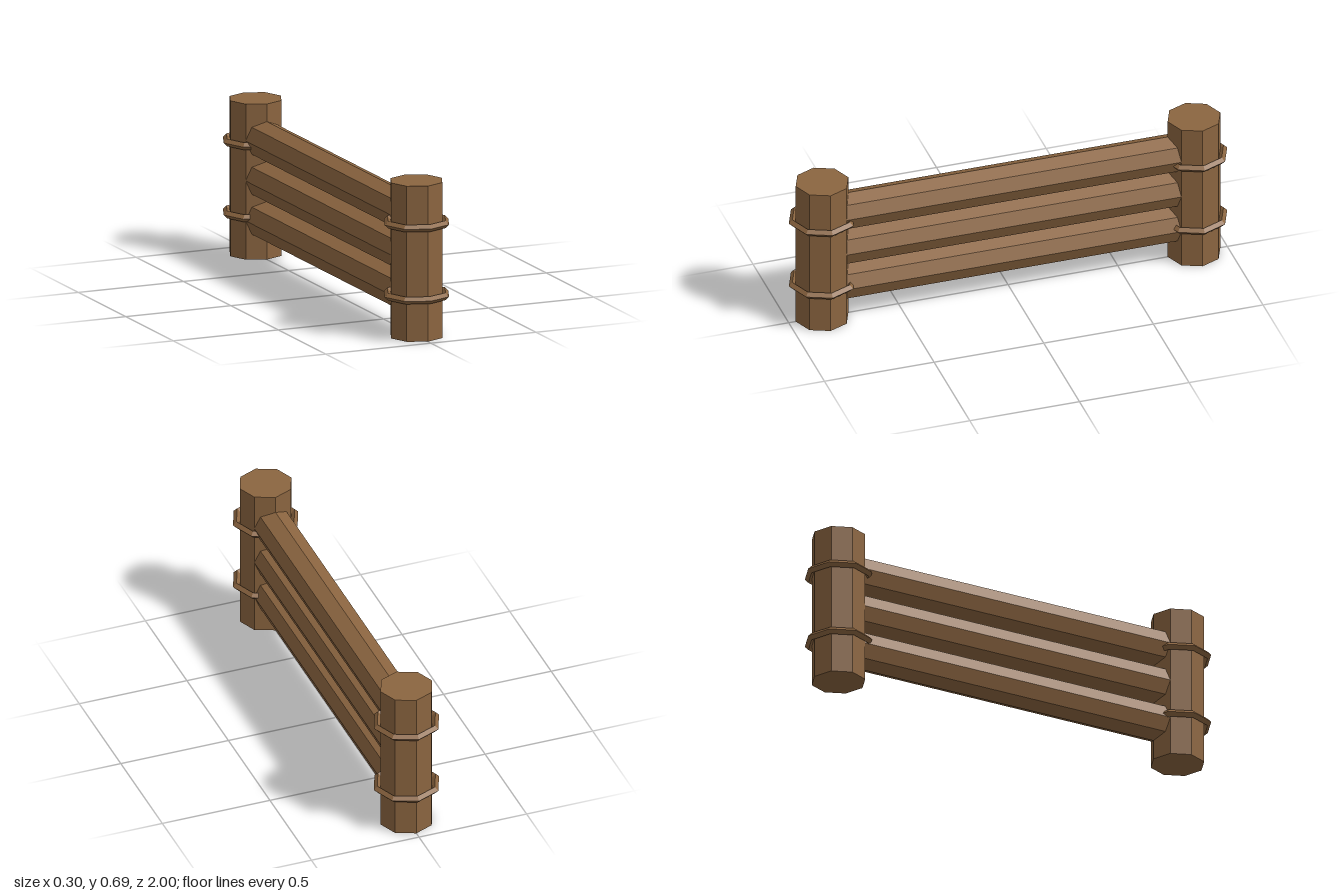
import * as THREE from 'three';

export function createModel() {
  const fence = new THREE.Group();
  fence.name = 'logFence';
  const wood = new THREE.MeshStandardMaterial({ color: 0x8b6540, flatShading: true });
  wood.name = 'brownWood';

  const add = (name, geometry, x, y, z) => {
    const mesh = new THREE.Mesh(geometry, wood);
    mesh.name = name;
    mesh.position.set(x, y, z);
    fence.add(mesh);
  };

  // Octagonal posts, each bound by two diamond-section rings
  const height = 0.693;
  const post = new THREE.CylinderGeometry(0.12, 0.12, height, 8);
  const ring = new THREE.TorusGeometry(0.135, 0.0165, 4, 8).rotateX(Math.PI / 2);
  for (const [side, z] of [['front', 0.848], ['back', -0.848]]) {
    add(side + 'Post', post, 0, height / 2, z);
    add(side + 'LowerRing', ring, 0, 0.187, z);
    add(side + 'UpperRing', ring, 0, 0.508, z);
  }

  // Three octagonal log rails running into the posts
  const rail = new THREE.CylinderGeometry(0.0855, 0.0855, 1.6, 8).rotateX(Math.PI / 2);
  [['lowerRail', 0.173], ['middleRail', 0.351], ['upperRail', 0.529]]
    .forEach(([name, y]) => add(name, rail, 0, y, 0));

  return fence;
}
